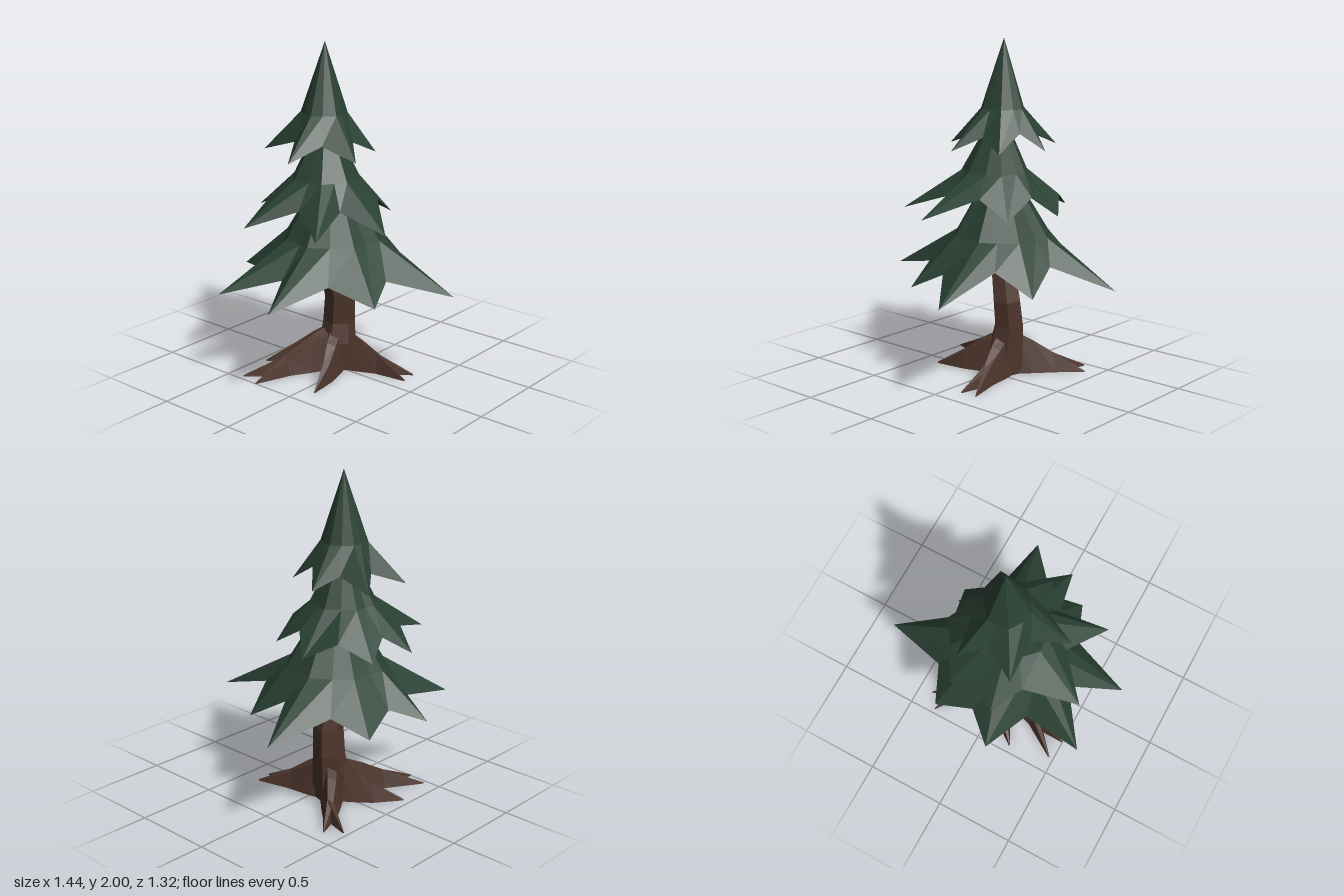
import * as THREE from 'three';

// Skin a stack of closed rings (points run anticlockwise seen from the last ring), closed with two fans
function loft(rings, startCentre, endCentre) {
  const pos = [];
  const tri = (...pts) => pts.forEach((p) => pos.push(...p));
  const n = rings[0].length, last = rings[rings.length - 1];
  for (let k = 0; k < n; k++) {
    const j = (k + 1) % n;
    for (let i = 0; i < rings.length - 1; i++) {
      const a = rings[i], b = rings[i + 1];
      tri(a[k], a[j], b[j]);
      tri(a[k], b[j], b[k]);
    }
    tri(rings[0][j], rings[0][k], startCentre);
    tri(last[k], last[j], endCentre);
  }
  const g = new THREE.BufferGeometry();
  g.setAttribute('position', new THREE.Float32BufferAttribute(pos, 3));
  g.computeVertexNormals();
  return g;
}

// Star-shaped skirt of needles: rim of tips and valleys, a ring at the shoulder, and a peak
function tierGeometry({ rim, tipY, valleyY, mid, midY, midR, peak, underY }) {
  const low = rim.map(([x, z, y], i) => [x, y ?? (i % 2 ? valleyY : tipY), z]);
  const shoulder = rim.map(([x, z], i) => {
    const dx = x - mid[0], dz = z - mid[1], d = Math.hypot(dx, dz);
    const r = midR * (i % 2 ? 0.96 : 1.04);
    return [mid[0] + (dx / d) * r, midY, mid[1] + (dz / d) * r];
  });
  return loft([low, shoulder], [mid[0], underY, mid[1]], peak);
}

// Root running over the ground from the trunk foot, through a knee, to a tip
function rootGeometry(from, knee, tip) {
  const half = [(from[0] + knee[0]) / 2, (from[1] + knee[1]) / 2];
  const path = [from, half, knee, tip];
  const heights = [0.26, 0.195, 0.115, 0.008], widths = [0.07, 0.06, 0.042, 0.004];
  const rings = path.map(([cx, cz], i) => {
    const a = path[Math.max(i - 1, 0)], b = path[Math.min(i + 1, 3)];
    const dx = b[0] - a[0], dz = b[1] - a[1], len = Math.hypot(dx, dz);
    const h = heights[i], w = widths[i];
    const at = (s, y) => [cx + (dz / len) * s * w, y, cz - (dx / len) * s * w];
    return [at(1, 0), at(0.5, h * 0.88), at(-0.35, h), at(-1, 0)];
  });
  return loft(rings, [from[0], 0.1, from[1]], [tip[0], 0.003, tip[1]]);
}

export function createModel() {
  const tree = new THREE.Group();
  tree.name = 'pineTree';
  const needles = new THREE.MeshStandardMaterial({ color: 0x2a4134 });
  needles.name = 'needleGreen';
  const bark = new THREE.MeshStandardMaterial({ color: 0x4d352c });
  bark.name = 'barkBrown';
  needles.flatShading = bark.flatShading = true;

  const add = (name, geometry, material) => {
    const mesh = new THREE.Mesh(geometry, material);
    mesh.name = name;
    tree.add(mesh);
  };

  // Leaning trunk: height, centre x, centre z, radius x, radius z
  const sections = [
    [0, 0.035, -0.09, 0.11, 0.11],
    [0.17, 0.04, -0.09, 0.105, 0.115],
    [0.29, 0.057, -0.092, 0.092, 0.1],
    [0.45, 0.05, -0.078, 0.087, 0.095],
    [0.68, -0.005, -0.1, 0.074, 0.079],
    [0.95, -0.03, -0.1, 0.06, 0.06],
  ];
  const sides = 6;
  const trunkRings = sections.map(([y, cx, cz, rx, rz]) =>
    Array.from({ length: sides }, (_, k) => {
      const a = (k / sides) * Math.PI * 2 + 0.25;
      return [cx + rx * Math.cos(a), y, cz - rz * Math.sin(a)];
    }));
  add('trunk', loft(trunkRings, [0.035, 0, -0.09], [-0.03, 0.95, -0.1]), bark);

  // Roots: start, knee, then one tip or the two tips of a fork
  const roots = [
    [[0.06, -0.12], [0.25, -0.28], [[0.41, -0.38], [0.34, -0.47]]],
    [[0.05, -0.05], [0.11, 0.17], [[0.10, 0.38], [0.20, 0.37]]],
    [[0.01, -0.08], [-0.20, 0.02], [[-0.37, 0.08]]],
    [[0.0, -0.11], [-0.27, -0.23], [[-0.50, -0.27], [-0.47, -0.40]]],
    [[0.02, -0.13], [-0.09, -0.32], [[-0.21, -0.455]]],
  ];
  roots.forEach(([from, knee, tips], i) => tips.forEach((tip, j) =>
    add(`root${i + 1}branch${j + 1}`, rootGeometry(from, knee, tip), bark)));

  // Needle tiers; each rim alternates tip, valley, with an own height where it differs
  add('lowerTier', tierGeometry({
    rim: [
      [0.72, -0.25, 0.585], [0.33, -0.36], [0.24, -0.57], [0.01, -0.51],
      [-0.16, -0.66, 0.59], [-0.29, -0.39, 0.64], [-0.65, -0.41], [-0.43, -0.11],
      [-0.72, 0.05, 0.585], [-0.35, 0.17], [-0.25, 0.43], [-0.06, 0.36],
      [0.19, 0.66], [0.24, 0.25, 0.71], [0.45, 0.17], [0.39, -0.06, 0.71],
    ],
    tipY: 0.575, valleyY: 0.67, mid: [0, -0.09], midY: 0.85, midR: 0.29,
    peak: [-0.01, 1.34, -0.09], underY: 0.84,
  }), needles);

  add('middleTier', tierGeometry({
    rim: [
      [0.36, -0.17], [0.24, -0.33], [0.15, -0.51], [-0.02, -0.43],
      [-0.14, -0.55], [-0.25, -0.37], [-0.57, -0.27], [-0.36, -0.04],
      [-0.51, 0.22], [-0.22, 0.15], [-0.16, 0.43], [0.07, 0.19, 1.1],
      [0.25, 0.15], [0.26, -0.05, 1.1],
    ],
    tipY: 0.985, valleyY: 1.08, mid: [-0.06, -0.1], midY: 1.22, midR: 0.195,
    peak: [-0.04, 1.62, -0.11], underY: 1.2,
  }), needles);

  add('upperTier', tierGeometry({
    rim: [
      [0.27, -0.16], [0.14, -0.25], [0.12, -0.45], [-0.02, -0.34],
      [-0.21, -0.44], [-0.21, -0.2], [-0.40, -0.08], [-0.2, 0.0],
      [-0.14, 0.2], [-0.01, 0.07], [0.15, 0.11], [0.16, -0.06, 1.46],
    ],
    tipY: 1.358, valleyY: 1.435, mid: [-0.03, -0.13], midY: 1.59, midR: 0.132,
    peak: [-0.02, 2, -0.13], underY: 1.54,
  }), needles);

  return tree;
}
